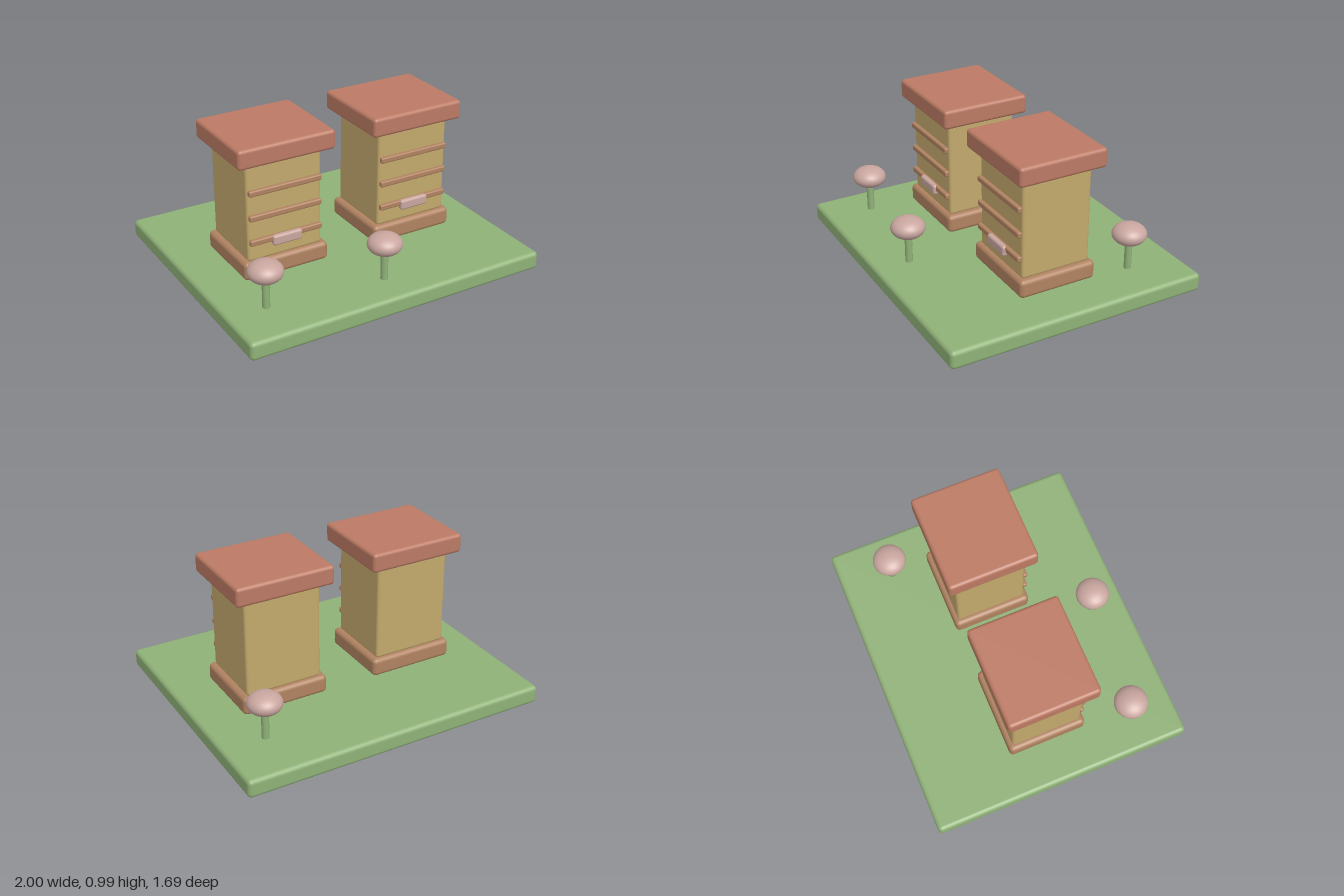
import * as THREE from 'three';
import { RoundedBoxGeometry } from 'three/addons/geometries/RoundedBoxGeometry.js';

const material = (name, color) => {
  const m = new THREE.MeshStandardMaterial({ color });
  m.name = name;
  return m;
};

export function createModel() {
  const green = material('grass green', 0x8fb177);
  const straw = material('straw yellow', 0xc2a86c);
  const brown = material('wood brown', 0xb08261);
  const red = material('roof red', 0xbb7a64);
  const pink = material('dusty pink', 0xc9a69f);

  const model = new THREE.Group();
  model.name = 'hiveGarden';

  // Rounded box given its bottom, top, width, depth and centre
  const block = (parent, name, mat, w, d, y0, y1, radius, z = 0) => {
    const mesh = new THREE.Mesh(new RoundedBoxGeometry(w, y1 - y0, d, 3, radius), mat);
    mesh.name = name;
    mesh.position.set(0, (y0 + y1) / 2, z);
    parent.add(mesh);
    return mesh;
  };

  block(model, 'ground', green, 2, 1.69, 0, 0.118, 0.028);

  // Two identical hives
  for (const side of [-1, 1]) {
    const hive = new THREE.Group();
    hive.name = side > 0 ? 'leftHive' : 'rightHive';
    hive.position.x = side * 0.45;
    block(hive, 'base', brown, 0.565, 0.51, 0.122, 0.24, 0.028);
    block(hive, 'body', straw, 0.495, 0.456, 0.235, 0.866, 0.018);
    block(hive, 'roof', red, 0.635, 0.574, 0.862, 0.985, 0.022);
    // Slats across the front, one for each stacked box
    for (const y of [0.365, 0.525, 0.685]) {
      block(hive, 'slat', brown, 0.48, 0.03, y - 0.019, y + 0.019, 0.01, 0.24);
    }
    block(hive, 'entrance', pink, 0.195, 0.038, 0.32, 0.386, 0.015, 0.252);
    model.add(hive);
  }

  // Flowers: thin stem with a flattened round head
  for (const [x, z] of [[-0.75, 0.545], [0, 0.62], [0.72, -0.5]]) {
    const flower = new THREE.Group();
    flower.name = 'flower';
    flower.position.set(x, 0, z);
    const stem = new THREE.Mesh(new THREE.CylinderGeometry(0.023, 0.023, 0.24, 16), green);
    stem.name = 'stem';
    stem.position.y = 0.225;
    const head = new THREE.Mesh(new THREE.SphereGeometry(0.107, 32, 20), pink);
    head.name = 'flowerHead';
    head.scale.y = 0.63;
    head.position.y = 0.353;
    flower.add(stem, head);
    model.add(flower);
  }

  return model;
}
